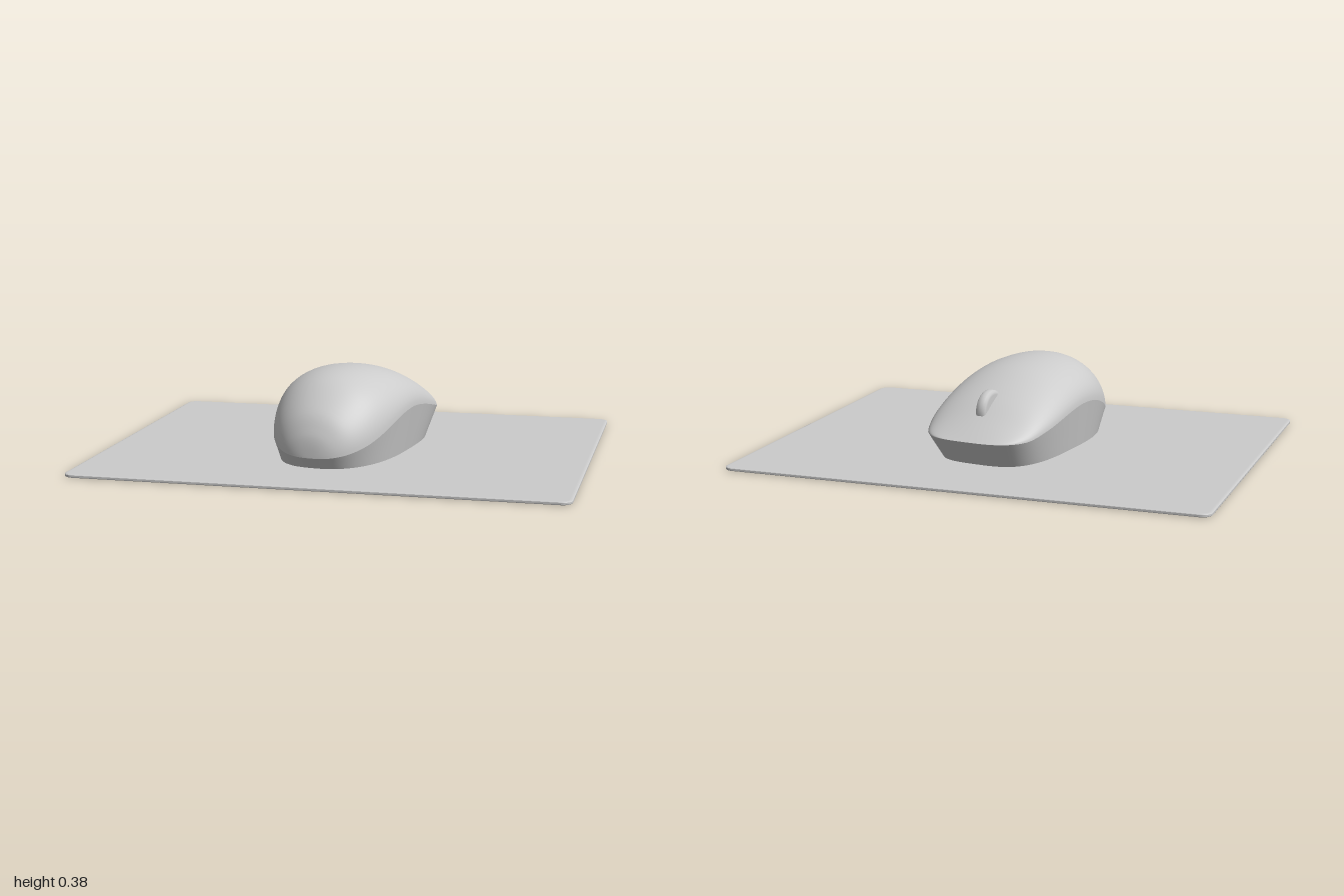
import * as THREE from 'three';

const HALF_LENGTH = 0.505, HALF_WIDTH = 0.273, STATIONS = 64, ARC = 32;
const PAD_TOP = 0.015;

const grey = () => new THREE.MeshStandardMaterial({ color: 0xcccccc, side: THREE.DoubleSide });

// Smooth height profile: [z, y] points in order of rising z
function profile(points) {
  const pts = new THREE.SplineCurve(points.map(p => new THREE.Vector2(...p))).getPoints(400);
  return z => {
    let i = pts.findIndex(p => p.x >= z);
    if (i < 0) i = pts.length - 1;
    if (i === 0) return pts[0].y;
    const a = pts[i - 1], b = pts[i];
    return THREE.MathUtils.clamp(THREE.MathUtils.mapLinear(z, a.x, b.x, a.y, b.y), Math.min(a.y, b.y), Math.max(a.y, b.y));
  };
}

const ridge = profile([[-0.505, 0.125], [-0.4, 0.193], [-0.3, 0.257], [-0.2, 0.307], [-0.1, 0.345], [0, 0.366],
  [0.1, 0.375], [0.22, 0.368], [0.33, 0.33], [0.44, 0.24], [0.485, 0.165], [0.5, 0.115], [0.505, 0.06]]);
const rim = profile([[-0.505, 0.125], [-0.4, 0.128], [-0.3, 0.15], [-0.1, 0.192], [0.05, 0.205],
  [0.2, 0.18], [0.4, 0.1], [0.505, 0.06]]);

// Blunt nose, rounder heel
function halfWidth(z) {
  const n = z < 0 ? 3.4 : 2.5;
  const k = Math.min(1, Math.abs(z) / HALF_LENGTH);
  return HALF_WIDTH * Math.pow(1 - Math.pow(k, n), 1 / n);
}

// Smooth surface through rows of [x, y, z] points
function skin(rows, closed = false) {
  const n = rows[0].length, index = [];
  for (let i = 0; i < rows.length - 1; i++) {
    for (let j = 0; j < (closed ? n : n - 1); j++) {
      const k = (j + 1) % n;
      const a = i * n + j, b = i * n + k, c = a + n, d = b + n;
      index.push(a, b, c, b, d, c);
    }
  }
  const geo = new THREE.BufferGeometry();
  geo.setAttribute('position', new THREE.Float32BufferAttribute(rows.flat(2), 3));
  geo.setIndex(index);
  geo.computeVertexNormals();
  return geo;
}

function add(parent, name, geometry) {
  const mesh = new THREE.Mesh(geometry, grey());
  mesh.name = name;
  parent.add(mesh);
  return mesh;
}

// Thin pad with rounded corners and softened edges
function padGeometry() {
  const bevel = 0.012, x = 1 - bevel, y = 0.795 - bevel, r = 0.03;
  const s = new THREE.Shape();
  s.moveTo(-x + r, -y);
  s.absarc(x - r, -y + r, r, -Math.PI / 2, 0);
  s.absarc(x - r, y - r, r, 0, Math.PI / 2);
  s.absarc(-x + r, y - r, r, Math.PI / 2, Math.PI);
  s.absarc(-x + r, -y + r, r, Math.PI, Math.PI * 1.5);
  const geo = new THREE.ExtrudeGeometry(s, {
    depth: 0.007, bevelThickness: 0.004, bevelSize: bevel, bevelSegments: 4, curveSegments: 8,
  });
  return geo.rotateX(-Math.PI / 2).translate(0, 0.004, 0);
}

export function createModel() {
  const model = new THREE.Group();
  model.name = 'mouseOnPad';
  add(model, 'pad', padGeometry());

  const mouse = new THREE.Group();
  mouse.name = 'mouse';
  mouse.rotation.y = THREE.MathUtils.degToRad(-8);
  model.add(mouse);

  // Stations bunch up towards nose and heel
  const zs = Array.from({ length: STATIONS + 1 }, (_, i) => -HALF_LENGTH * Math.cos(Math.PI * i / STATIONS));

  // Domed top shell
  const domeRows = zs.map(z => {
    const w = halfWidth(z), low = rim(z), high = Math.max(low, ridge(z));
    return Array.from({ length: ARC + 1 }, (_, j) => {
      const a = Math.PI * j / ARC;
      return [w * Math.cos(a), low + (high - low) * Math.sin(a), z];
    });
  });
  add(mouse, 'topShell', skin(domeRows));

  // Side wall tapering from the rim to a smaller footprint
  const outline = [
    ...zs.map(z => [halfWidth(z), z]),
    ...zs.slice(1, -1).reverse().map(z => [-halfWidth(z), z]),
  ];
  const wallRows = [0, 0.25, 0.5, 0.75, 1].map(t => outline.map(([x, z]) => [
    x * (1 - 0.12 * t),
    THREE.MathUtils.lerp(rim(z), PAD_TOP, t),
    THREE.MathUtils.lerp(z, z * 0.89 + 0.028, t),
  ]));
  add(mouse, 'sideWall', skin(wallRows, true));

  // Scroll wheel with rounded tread
  const tread = [[0, -0.023], [0.066, -0.023], [0.076, -0.021], [0.083, -0.014], [0.085, 0],
    [0.083, 0.014], [0.076, 0.021], [0.066, 0.023], [0, 0.023]].map(p => new THREE.Vector2(...p));
  const wheel = add(mouse, 'scrollWheel', new THREE.LatheGeometry(tread, 40).rotateZ(Math.PI / 2));
  wheel.position.set(0, 0.213, -0.297);

  return model;
}
